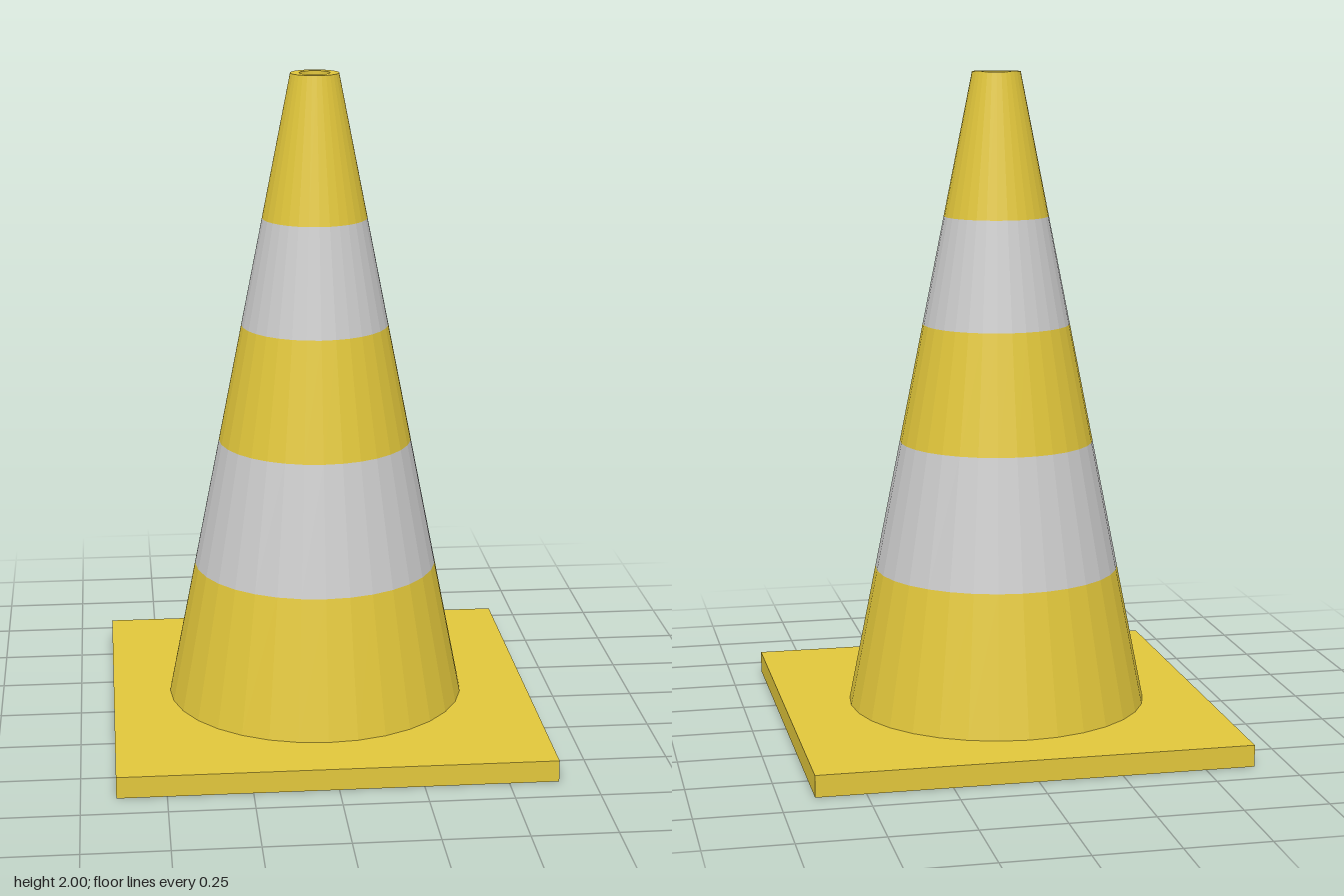
import * as THREE from 'three';

const SIDES = 32;
const BASE_TOP = 0.065, TOP = 2;
const R_BOTTOM = 0.457, R_TOP = 0.073, R_HOLE = 0.046, HOLE_DEPTH = 0.04;

const yellow = new THREE.MeshStandardMaterial({ color: 0xe1c63b, flatShading: true });
const grey = new THREE.MeshStandardMaterial({ color: 0xcccccc, flatShading: true });

// Cone radius at a given height
const radiusAt = (y) => THREE.MathUtils.mapLinear(y, BASE_TOP, TOP, R_BOTTOM, R_TOP);

function addMesh(parent, name, geometry, material) {
  const mesh = new THREE.Mesh(geometry, material);
  mesh.name = name;
  parent.add(mesh);
  return mesh;
}

export function createModel() {
  const model = new THREE.Group();
  model.name = 'trafficCone';

  // Square foot plate
  const base = addMesh(model, 'basePlate', new THREE.BoxGeometry(1.294, BASE_TOP, 1.294), yellow);
  base.position.y = BASE_TOP / 2;

  // Tapered body, standing slightly off the plate's centre
  const body = new THREE.Group();
  body.name = 'coneBody';
  body.position.set(-0.013, 0, -0.005);
  model.add(body);

  // Alternating coloured bands from bottom to top
  const levels = [BASE_TOP, 0.487, 0.88, 1.24, 1.567, TOP];
  for (let i = 0; i < levels.length - 1; i++) {
    const [y0, y1] = [levels[i], levels[i + 1]];
    const striped = i % 2 === 1;
    const band = addMesh(
      body,
      (striped ? 'reflectiveBand' : 'coneSection') + (i + 1),
      new THREE.CylinderGeometry(radiusAt(y1), radiusAt(y0), y1 - y0, SIDES, 1, true),
      striped ? grey : yellow
    );
    band.position.y = (y0 + y1) / 2;
  }

  // Flat rim with a shallow round recess
  const rimProfile = [
    [R_TOP, TOP],
    [R_HOLE, TOP],
    [R_HOLE, TOP - HOLE_DEPTH],
    [0, TOP - HOLE_DEPTH],
  ].map(([r, y]) => new THREE.Vector2(r, y));
  addMesh(body, 'topRim', new THREE.LatheGeometry(rimProfile, SIDES), yellow);

  return model;
}
